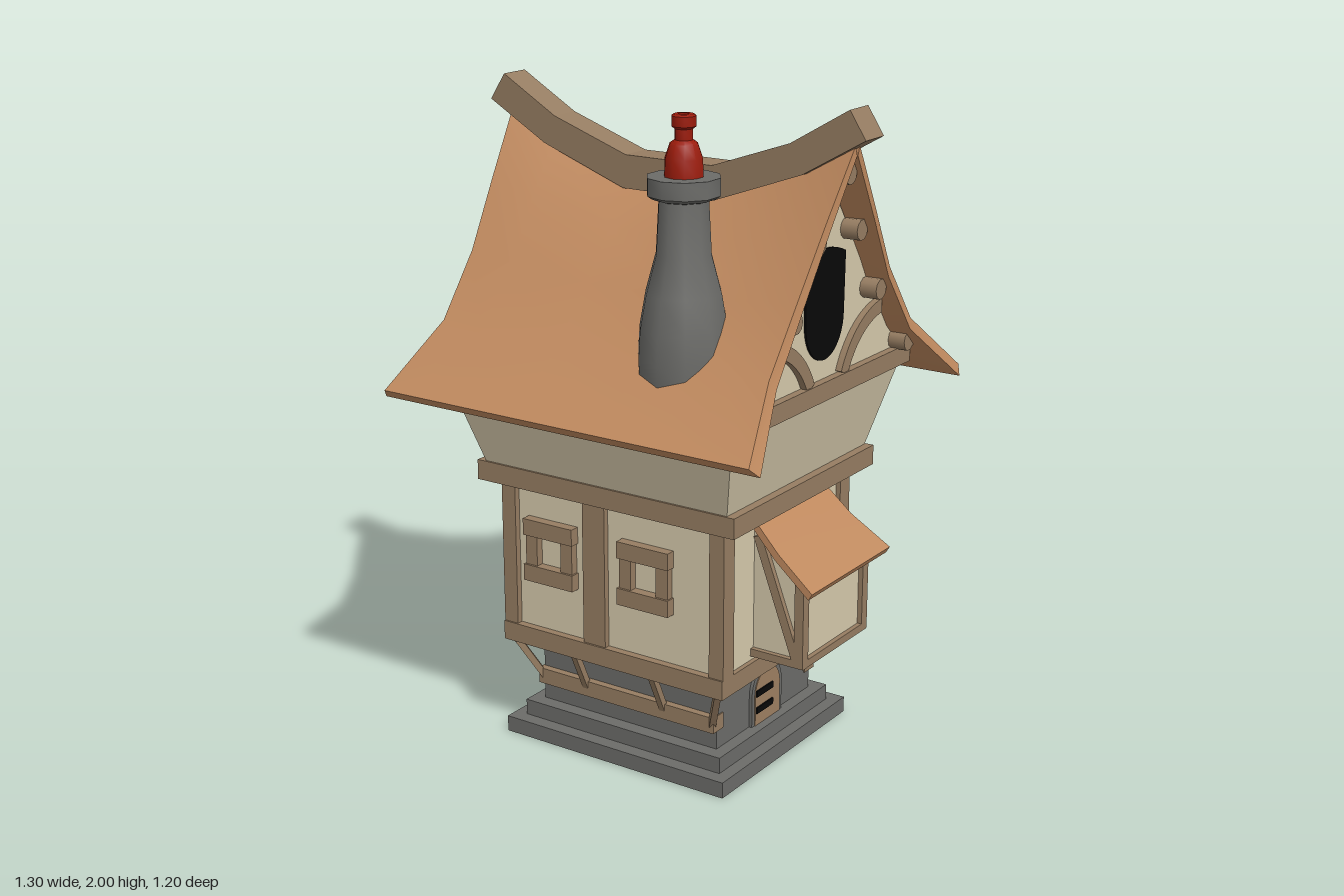
import * as THREE from 'three';
import { toCreasedNormals } from 'three/addons/utils/BufferGeometryUtils.js';

const mat = (name, color) => Object.assign(new THREE.MeshStandardMaterial({ color }), { name });

export function createModel() {
  const root = new THREE.Group();
  root.name = 'cottage';
  const wood = mat('timber', 0x967d62), plaster = mat('plaster', 0xd6caac), tile = mat('roof tile', 0xc08a5f);
  const stone = mat('stone', 0x6c6c69), red = mat('red clay', 0x9c1c0c), black = mat('black', 0x080808);
  const doorWood = mat('door wood', 0x9f8062);

  const add = (name, geo, m, parent = root) => {
    const mesh = new THREE.Mesh(geo, m);
    mesh.name = name;
    parent.add(mesh);
    return mesh;
  };
  // box given by its limits
  const box = (name, m, x0, x1, y0, y1, z0, z1, parent = root) =>
    add(name, new THREE.BoxGeometry(x1 - x0, y1 - y0, z1 - z0)
      .translate((x0 + x1) / 2, (y0 + y1) / 2, (z0 + z1) / 2), m, parent);
  // square bar between two points
  const bar = (name, a, b, w, parent = root) => {
    const p = new THREE.Vector3(...a), q = new THREE.Vector3(...b);
    const mesh = add(name, new THREE.BoxGeometry(w, w, p.distanceTo(q)), wood, parent);
    mesh.position.copy(p).add(q).multiplyScalar(0.5);
    mesh.lookAt(q);
    return mesh;
  };
  const extrude = (shape, depth) => new THREE.ExtrudeGeometry(shape, { depth, bevelEnabled: false, curveSegments: 10 });
  const poly = pts => new THREE.Shape(pts.map(p => new THREE.Vector2(...p)));
  const rect = (w, d) => poly([[-w, -d], [w, -d], [w, d], [-w, d]]);
  // rectangular ring of walls, open above and below
  const ring = (name, m, w, d, thick, y0, y1) => {
    const s = rect(w, d);
    s.holes.push(rect(w - thick, d - thick));
    add(name, extrude(s, y1 - y0).rotateX(-Math.PI / 2).translate(0, y0, 0), m);
  };
  // curved slab: grid of points [row down the slope][column], thickened by a rule for the lower side
  const slab = (grid, lower) => {
    const pos = [], R = grid.length - 1, C = grid[0].length - 1;
    const top = grid.map(r => r.map(p => new THREE.Vector3(...p)));
    const low = grid.map(r => r.map(p => new THREE.Vector3(...lower(p))));
    const quad = (a, b, c, d) => [a, b, c, a, c, d].forEach(p => pos.push(p.x, p.y, p.z));
    for (let i = 0; i < R; i++) for (let j = 0; j < C; j++) {
      quad(top[i][j], top[i + 1][j], top[i + 1][j + 1], top[i][j + 1]);
      quad(low[i][j], low[i][j + 1], low[i + 1][j + 1], low[i + 1][j]);
    }
    const rim = [];
    for (let i = 0; i < R; i++) rim.push([i, 0]);
    for (let j = 0; j < C; j++) rim.push([R, j]);
    for (let i = R; i > 0; i--) rim.push([i, C]);
    for (let j = C; j > 0; j--) rim.push([0, j]);
    rim.forEach(([i, j], k) => {
      const [m, n] = rim[(k + 1) % rim.length];
      quad(top[i][j], low[i][j], low[m][n], top[m][n]);
    });
    const g = new THREE.BufferGeometry();
    g.setAttribute('position', new THREE.Float32BufferAttribute(pos, 3));
    return toCreasedNormals(g, 0.6);
  };

  // stepped foundation and stone base, hollow below
  ring('foundationStep', stone, 0.4, 0.355, 0.055, 0, 0.05);
  ring('foundationStep', stone, 0.36, 0.31, 0.052, 0.05, 0.1);
  ring('stoneBase', stone, 0.32, 0.265, 0.008, 0.09, 0.5);
  box('baseCeiling', stone, -0.318, 0.318, 0.49, 0.499, -0.263, 0.263);

  // belt beams and overhang braces
  for (const s of [-1, 1]) {
    box('beltBeam', wood, -0.324, 0.324, 0.16, 0.21, s * 0.262 - 0.027, s * 0.262 + 0.027);
    for (const x of [-0.145, 0.14]) bar('brace', [x, 0.19, s * 0.28], [x, 0.33, s * 0.345], 0.02);
    for (const x of [-1, 1]) bar('cornerBrace', [x * 0.31, 0.18, s * 0.275], [x * 0.375, 0.33, s * 0.345], 0.02);
  }

  // arched door with frame and hinges
  const arch = (w, spring, rise) => {
    const s = new THREE.Shape();
    s.moveTo(-w, 0.1);
    s.lineTo(w, 0.1);
    s.lineTo(w, spring);
    s.absellipse(0, spring, w, rise, 0, Math.PI, false);
    return s;
  };
  const onRight = (shape, depth, x) => extrude(shape, depth).rotateY(Math.PI / 2).translate(x, 0, 0);
  add('doorFrame', onRight(arch(0.085, 0.2, 0.09), 0.015, 0.315), stone);
  add('door', onRight(arch(0.07, 0.2, 0.073), 0.008, 0.325), doorWood);
  for (const y of [0.15, 0.205]) box('doorHinge', black, 0.331, 0.338, y - 0.01, y + 0.01, -0.025, 0.067);

  // main storey
  ring('mainWalls', plaster, 0.385, 0.335, 0.02, 0.33, 0.86);
  ring('floorBeam', wood, 0.4, 0.36, 0.085, 0.315, 0.375);
  box('upperBeam', wood, -0.458, 0.458, 0.835, 0.897, -0.395, 0.395);
  const windowFrame = (x, y, z) => {
    const g = new THREE.Group();
    g.name = 'windowFrame';
    for (const s of [-1, 1]) {
      box('windowRail', wood, -0.091, 0.091, s * 0.073 - 0.026, s * 0.073 + 0.026, -0.01, 0.032, g);
      box('windowJamb', wood, s * 0.065 - 0.021, s * 0.065 + 0.021, -0.06, 0.06, -0.01, 0.025, g);
    }
    g.position.set(x, y, z);
    g.rotation.order = 'YXZ';
    root.add(g);
    return g;
  };
  for (const s of [-1, 1]) {
    for (const x of [-0.375, 0.375]) box('cornerPost', wood, x - 0.025, x + 0.025, 0.37, 0.84, s * 0.327 - 0.028, s * 0.327 + 0.028);
    box('middlePost', wood, -0.1, -0.02, 0.37, 0.84, s * 0.34 - 0.014, s * 0.34 + 0.014);
    for (const x of [-0.222, 0.123]) windowFrame(x, 0.631, s * 0.335).rotation.y = s > 0 ? 0 : Math.PI;
  }

  // flared upper storey with two leaning windows on the left
  const flare = new THREE.BoxGeometry(2, 0.285, 2).translate(0, 1.0375, 0);
  const fp = flare.attributes.position;
  for (let i = 0; i < fp.count; i++) {
    const up = fp.getY(i) > 1;
    fp.setXYZ(i, fp.getX(i) * (up ? 0.503 : 0.43), fp.getY(i), fp.getZ(i) * (up ? 0.478 : 0.388));
  }
  flare.computeVertexNormals();
  add('flaredStorey', flare, plaster);
  for (const z of [-0.16, 0.18]) windowFrame(-0.463, 1.02, z).rotation.set(0.26, -Math.PI / 2, 0);

  // gable ends
  const half = [[0.47, 1.18], [0.42, 1.245], [0.26, 1.445], [0.14, 1.62], [0.02, 1.79]];
  const gableShape = poly([...half, ...half.map(([z, y]) => [-z, y]).reverse()]);
  for (const side of [1, -1]) {
    const g = new THREE.Group();
    g.name = side > 0 ? 'rightGable' : 'leftGable';
    root.add(g);
    add('gableWall', onRight(gableShape, 0.04, 0.46), plaster, g);
    box('gableBeam', wood, 0.45, 0.525, 1.155, 1.212, -0.485, 0.485, g);
    for (const s of [-1, 1]) {
      const a0 = s > 0 ? 1.69 : Math.PI - 1.69, a1 = s > 0 ? 2.72 : Math.PI - 2.72;
      const arc = new THREE.Shape();
      arc.absarc(s * 0.34, 1.1, 0.29, a0, a1, s < 0);
      arc.absarc(s * 0.34, 1.1, 0.248, a1, a0, s > 0);
      add('curvedBrace', onRight(arc, 0.03, 0.49), wood, g);
    }
    for (const [z, y] of [[0, 1.815], [0.115, 1.633], [0.236, 1.435], [0.42, 1.238]])
      for (const s of z ? [-1, 1] : [1])
        add('purlinEnd', new THREE.CylinderGeometry(0.031, 0.031, 0.06, 10).rotateZ(Math.PI / 2)
          .translate(z ? 0.525 : 0.55, y, s * z), wood, g);
    if (side < 0) g.rotation.y = Math.PI;
  }
  const opening = new THREE.Shape();
  opening.moveTo(-0.11, 1.57);
  opening.lineTo(-0.106, 1.39);
  opening.absellipse(0, 1.39, 0.106, 0.12, Math.PI, Math.PI * 2, false);
  opening.lineTo(0.11, 1.57);
  opening.quadraticCurveTo(0, 1.62, -0.11, 1.57);
  add('gableWindow', onRight(opening, 0.008, 0.498), black);

  // sagging roof: z, end height and half length of each row; the sag fades towards the eaves
  const rows = [[0.012, 1.895, 0.597], [0.14, 1.695, 0.582], [0.26, 1.5, 0.568], [0.4, 1.315, 0.568], [0.6, 1.135, 0.633]];
  const cols = [[-1, 0], [-0.74, 0.075], [-0.25, 0.18], [0.25, 0.18], [0.74, 0.075], [1, 0]];
  const roof = slab(rows.map(([z, y, w]) => cols.map(([u, sag]) => [u * w, y - sag * ((y - 1.135) / 0.76) ** 2, z])),
    ([x, y, z]) => [x * (1 + 0.05 * z), y - 0.028, z - 0.01 - 0.03 * z]);
  add('frontRoof', roof, tile);
  add('backRoof', roof, tile).rotation.y = Math.PI;
  const ridgeHalf = [[0.16, 1.7], [0.45, 1.805], [0.65, 1.92], [0.598, 2], [0.41, 1.89], [0.15, 1.8]];
  const ridge = poly([...ridgeHalf, ...ridgeHalf.map(([x, y]) => [-x, y]).reverse()]);
  add('ridgeBeam', extrude(ridge, 0.1).translate(0, 0, -0.05), wood);

  // bay on the right side
  const bay = poly([[0.37, 0.395], [0.55, 0.395], [0.55, 0.665], [0.49, 0.715], [0.37, 0.815]]);
  add('bayWalls', extrude(bay, 0.34).translate(0, 0, -0.17), plaster);
  for (const s of [-1, 1]) {
    box('bayPost', wood, 0.535, 0.565, 0.39, 0.67, s * 0.173 - 0.016, s * 0.173 + 0.016);
    box('baySideRail', wood, 0.385, 0.56, 0.388, 0.412, s * 0.173 - 0.013, s * 0.173 + 0.013);
    bar('bayBrace', [0.405, 0.77, s * 0.172], [0.54, 0.41, s * 0.172], 0.028);
  }
  box('bayFrontRail', wood, 0.54, 0.565, 0.388, 0.412, -0.185, 0.185);
  box('bayTopRail', wood, 0.54, 0.562, 0.635, 0.662, -0.185, 0.185);
  add('bayRoof', slab([[0.39, 0.832, 0.195], [0.49, 0.738, 0.208], [0.615, 0.65, 0.228]]
    .map(([x, y, w]) => [[x, y, w], [x, y, -w]]), ([x, y, z]) => [x - 0.012, y - 0.02, z]), tile);

  // chimney and clay pot
  const lathe = (name, pts, n, m) => add(name, toCreasedNormals(
    new THREE.LatheGeometry(pts.map(p => new THREE.Vector2(...p)), n), 0.7).translate(0.243, 0, 0.327), m);
  lathe('chimney', [[0, 1.25], [0.131, 1.25], [0.133, 1.32], [0.128, 1.4], [0.11, 1.5], [0.08, 1.61], [0.072, 1.76],
    [0.09, 1.765], [0.105, 1.775], [0.105, 1.825], [0, 1.825]], 10, stone);
  lathe('chimneyPot', [[0.056, 1.82], [0.054, 1.875], [0.04, 1.915], [0.026, 1.925], [0.026, 1.955], [0.035, 1.962],
    [0.035, 1.99], [0.028, 1.995], [0.015, 1.995], [0.015, 1.96], [0, 1.96]], 10, red);
  return root;
}
